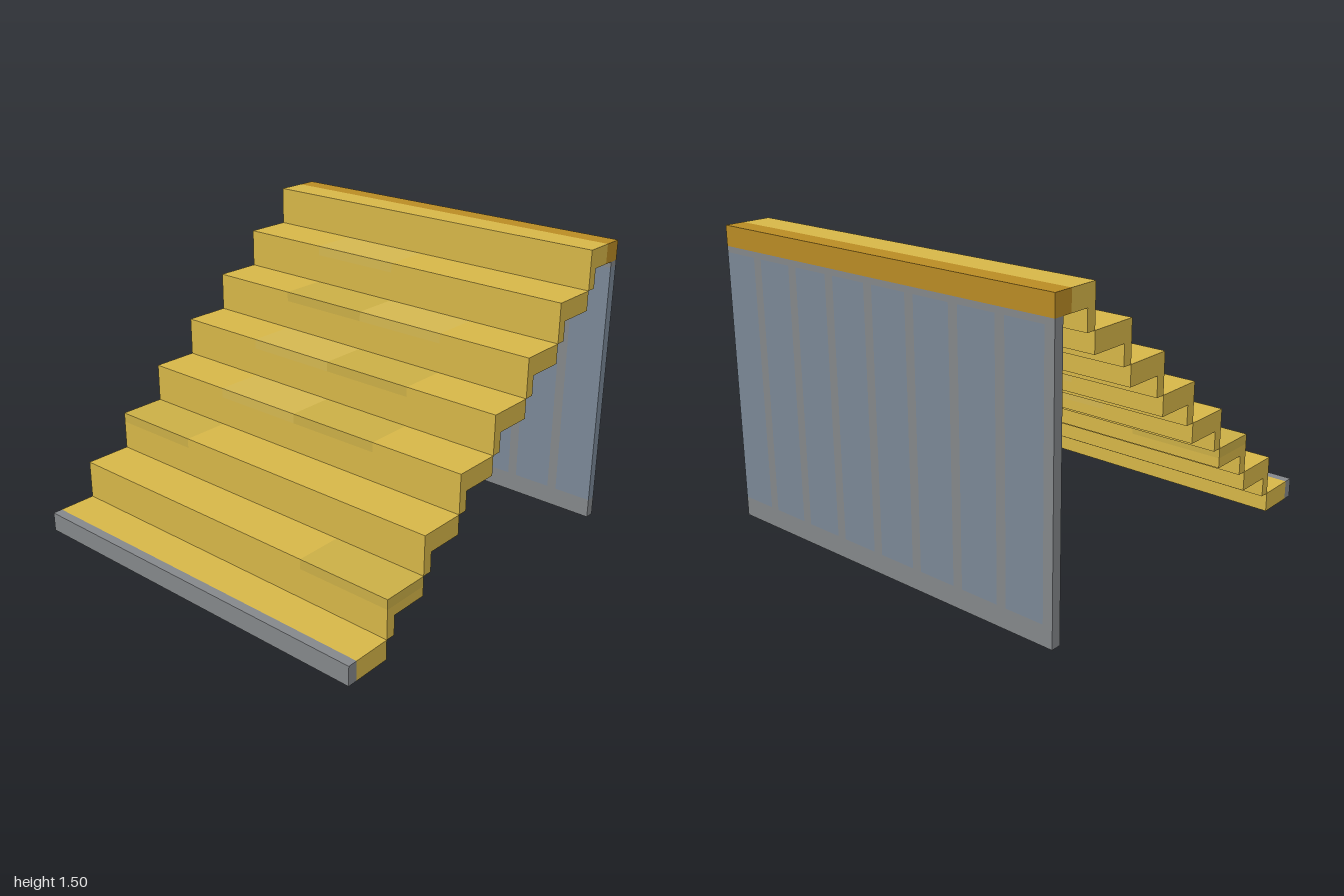
import * as THREE from 'three';

const mat = (color) => new THREE.MeshStandardMaterial({ color, flatShading: true });
const yellow = mat(0xd6b648);
const darkYellow = mat(0xcaae46);
const paleYellow = mat(0xd4b750);
const amber = mat(0xb98b24);
const slate = mat(0x7a8796);
const grey = mat(0x84878a);

// Box given by its limits on each axis
function block(parent, name, material, [x0, x1], [y0, y1], [z0, z1]) {
  const mesh = new THREE.Mesh(new THREE.BoxGeometry(x1 - x0, y1 - y0, z1 - z0), material);
  mesh.position.set((x0 + x1) / 2, (y0 + y1) / 2, (z0 + z1) / 2);
  mesh.name = name;
  parent.add(mesh);
}

export function createModel() {
  const model = new THREE.Group();
  model.name = 'staircase';
  const steps = 8, run = 0.25, rise = 0.2, thick = 0.1;
  const width = [-1, 1];

  // Shade of the tiles on each tread, from back to front
  const tileShades = ['yyyy', 'yyyd', 'dyyy', 'ypdy', 'ypdy', 'ydpy', 'ypyy', 'yyyy'];
  const shades = { y: yellow, d: darkYellow, p: paleYellow };

  for (let i = 0; i < steps; i++) {
    const step = new THREE.Group();
    step.name = 'step' + (i + 1);
    const left = -1 + i * run;
    const base = i * rise;
    const first = i === 0, last = i === steps - 1;
    const x = [first ? left + 0.05 : left, last ? 0.9 : left + run];

    // Tread: solid board topped by four tiles
    block(step, 'treadBoard', yellow, x, [base, base + thick / 2], width);
    for (let k = 0; k < 4; k++) {
      block(step, 'treadTile', shades[tileShades[i][k]], x,
        [base + thick / 2, base + thick], [-1 + k * 0.5, -0.5 + k * 0.5]);
    }

    // Riser hanging below the leading edge
    if (!first) block(step, 'riser', yellow, [left, left + 0.05], [base - thick, base], width);
    model.add(step);
  }

  // Curb at the foot and nosing at the top landing
  block(model, 'footCurb', grey, [-1, -0.95], [0, 0.1], width);
  block(model, 'topNosing', amber, [0.9, 1], [1.4, 1.5], width);

  // Supporting wall: base rail, top rail and panels separated by narrow battens
  const wall = new THREE.Group();
  wall.name = 'supportWall';
  const wx = [0.95, 1];
  block(wall, 'baseRail', grey, wx, [0, 0.1], width);
  block(wall, 'topRail', grey, wx, [1.37, 1.4], width);
  for (let k = 0; k < 8; k++) {
    const z = 1 - k * 0.25;
    block(wall, 'wallPanel', slate, wx, [0.1, 1.37], [z - 0.2, z]);
    block(wall, 'wallBatten', grey, wx, [0.1, 1.37], [z - 0.25, z - 0.2]);
  }
  model.add(wall);
  return model;
}
